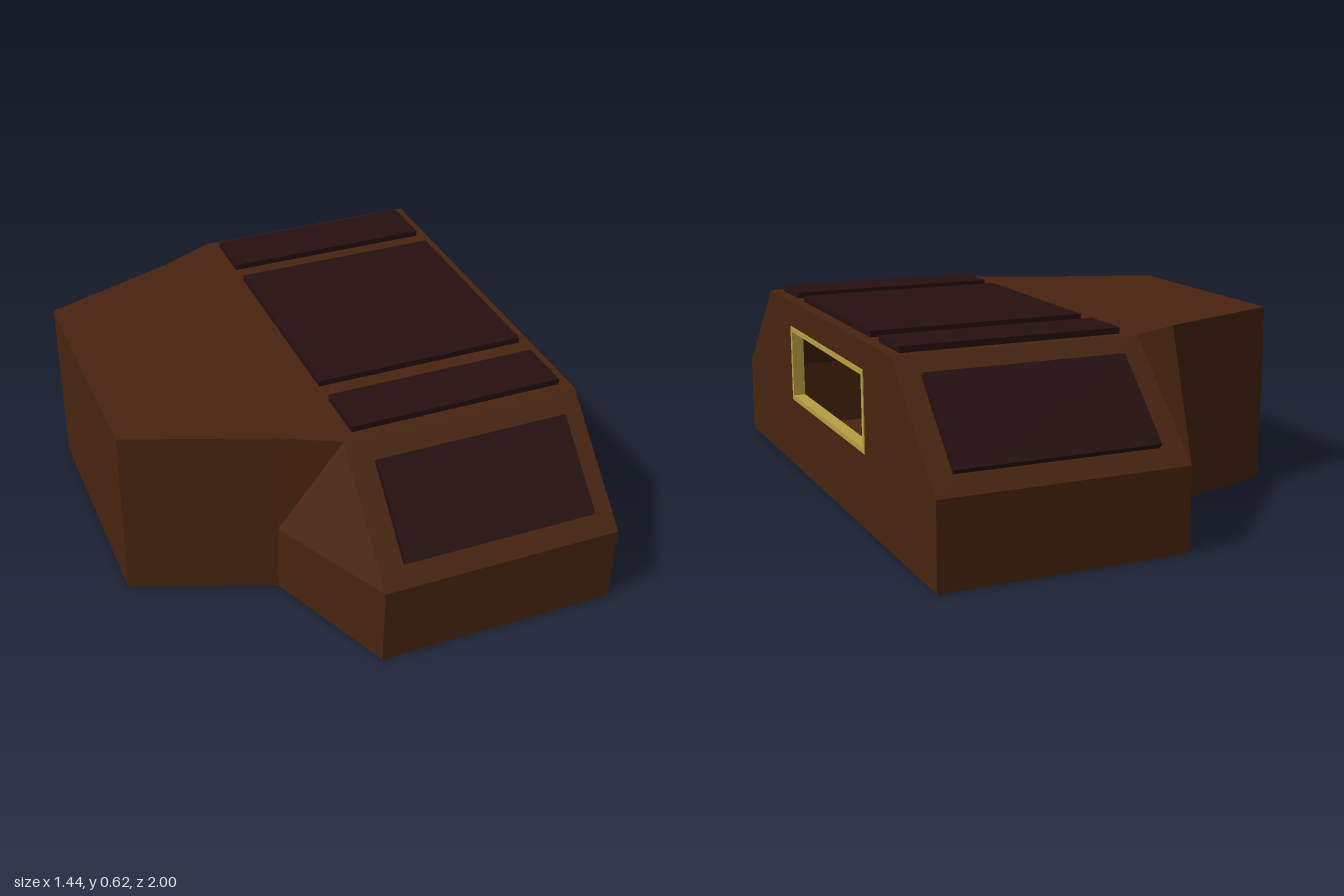
import * as THREE from 'three';
import { mergeGeometries } from 'three/addons/utils/BufferGeometryUtils.js';

// Cross-sections along x: [x, half width, shoulder height, half width at roof]
const STATIONS = [
  [0.72, 1, 0.27, 0.66],
  [-0.08, 1, 0.27, 0.66],
  [-0.26, 0.57, 0.24, 0.57],
  [-0.72, 0.4, 0.24, 0.4],
];
const HEIGHT = 0.6;
const WINDOW = { w: 0.4, y0: 0.245, y1: 0.51 };

function rectangle(w, y0, y1, Type = THREE.Shape) {
  return new Type([[-w, y0], [w, y0], [w, y1], [-w, y1]].map(p => new THREE.Vector2(...p)));
}

// Faceted hull with a window cut in its +x end
function hullGeometry(sx, sy, sz, lift) {
  const rings = STATIONS.map(([x, w, shoulder, roof]) =>
    [[-w, 0], [-w, shoulder], [-roof, HEIGHT], [roof, HEIGHT], [w, shoulder], [w, 0]]
      .map(([z, y]) => [x * sx, y * sy + lift, z * sz]));
  const positions = [];
  for (let i = 0; i < rings.length - 1; i++) {
    for (let j = 0; j < 6; j++) {
      const k = (j + 1) % 6;
      const a = rings[i][j], b = rings[i][k], c = rings[i + 1][k], d = rings[i + 1][j];
      positions.push(...a, ...d, ...c, ...a, ...c, ...b);
    }
  }
  const sides = new THREE.BufferGeometry();
  sides.setAttribute('position', new THREE.Float32BufferAttribute(positions, 3));
  sides.computeVertexNormals();

  const cap = (ring, dir) => {
    const shape = new THREE.Shape(ring.map(p => new THREE.Vector2(p[2], p[1])));
    if (dir > 0) shape.holes.push(rectangle(WINDOW.w, WINDOW.y0, WINDOW.y1, THREE.Path));
    const g = new THREE.ShapeGeometry(shape).toNonIndexed();
    g.deleteAttribute('uv');
    return g.rotateY(dir * Math.PI / 2).translate(ring[0][0], 0, 0);
  };
  return mergeGeometries([sides, cap(rings[0], 1), cap(rings[3], -1)]);
}

export function createModel() {
  const model = new THREE.Group();
  const brown = new THREE.MeshStandardMaterial({ color: 0x48240f, side: THREE.DoubleSide });
  brown.name = 'brown';
  const maroon = new THREE.MeshStandardMaterial({ color: 0x260f11 });
  maroon.name = 'dark maroon';
  const gold = new THREE.MeshStandardMaterial({ color: 0xb89f42 });
  gold.name = 'gold';

  const add = (name, geometry, material) => {
    const mesh = new THREE.Mesh(geometry, material);
    mesh.name = name;
    model.add(mesh);
    return mesh;
  };

  // Outer body and the hollow room inside it
  add('outerBody', hullGeometry(1, 1, 1, 0), brown);
  add('innerRoom', hullGeometry(0.95, 0.9, 0.84, 0.03), brown);

  // Window frame lining the opening
  const frame = rectangle(WINDOW.w, WINDOW.y0, WINDOW.y1);
  frame.holes.push(rectangle(WINDOW.w - 0.018, WINDOW.y0 + 0.018, WINDOW.y1 - 0.018, THREE.Path));
  const frameGeometry = new THREE.ExtrudeGeometry(frame, { depth: 0.04, bevelEnabled: false });
  add('windowFrame', frameGeometry.rotateY(Math.PI / 2), gold).position.x = 0.683;

  // Roof panels
  const panel = (name, width, depth) =>
    add(name, new THREE.BoxGeometry(width, 0.03, depth), maroon);
  panel('roofPanelCentre', 0.72, 0.72).position.set(0.322, 0.605, 0);
  for (const s of [1, -1]) {
    panel('roofPanelSide', 0.72, 0.185).position.set(0.322, 0.605, s * 0.531);

    // Panels lying on the sloping shoulders
    const slope = panel('slopePanel', 0.65, 0.325);
    slope.position.set(0.325, 0.438, s * 0.837);
    slope.rotation.x = s * Math.atan2(0.33, 0.34);
  }
  return model;
}
